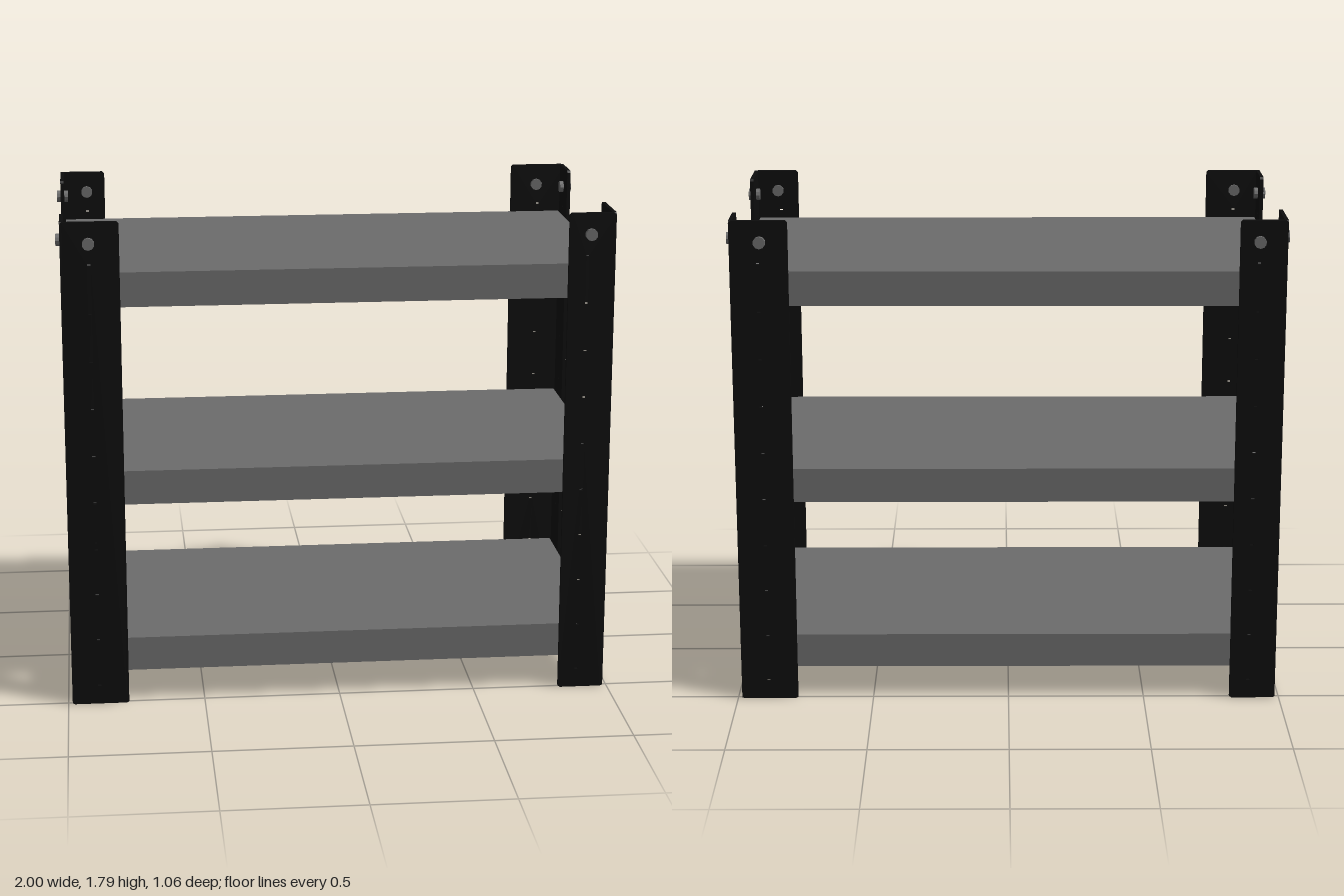
import * as THREE from 'three';

const X = 0.985, Z = 0.515, H = 1.797, T = 0.013;

// Flat perforated plate: starts at s*edge and runs inward by len
function plateGeometry(s, edge, len, holeAt, slit) {
  const u = (d) => s * (edge - d);
  const c = 0.008;
  const shape = new THREE.Shape([
    [0, c], [c, 0.003], [len - c, 0.003], [len, c],
    [len, H - c], [len - c, H], [c, H], [0, H - c],
  ].map(([d, y]) => new THREE.Vector2(u(d), y)));
  const cut = (x, y, w, h) => shape.holes.push(new THREE.Path([
    [-w, -h], [w, -h], [w, h], [-w, h],
  ].map(([a, b]) => new THREE.Vector2(x + a, y + b))));
  for (let i = 0; i < 10; i++) cut(s * holeAt, 0.075 + i * 0.1742, 0.006, 0.003);
  if (slit) cut(s * holeAt, 0.65, 0.0015, 0.03);
  return new THREE.ExtrudeGeometry(shape, { depth: T, bevelEnabled: false });
}

export function createModel() {
  const model = new THREE.Group();
  model.name = 'shelvingUnit';
  const black = new THREE.MeshStandardMaterial({ color: 0x0d0d0d });
  black.name = 'blackSteel';
  const grey = new THREE.MeshStandardMaterial({ color: 0x6b6b6b });
  grey.name = 'greyShelf';

  const add = (parent, name, geometry, material, x, y, z) => {
    const mesh = new THREE.Mesh(geometry, material);
    mesh.name = name;
    mesh.position.set(x, y, z);
    parent.add(mesh);
    return mesh;
  };

  // Three solid shelves
  [0.1875, 0.8225, 1.55].forEach((y, i) =>
    add(model, `shelf${i + 1}`, new THREE.BoxGeometry(1.936, 0.125, 1.006), grey, -0.001, y, -0.002));

  // Angle-iron corner posts, each with one long and one short flange
  const bolt = new THREE.CylinderGeometry(0.022, 0.022, 0.042, 10).toNonIndexed();
  bolt.computeVertexNormals();
  for (const sx of [-1, 1]) for (const sz of [-1, 1]) {
    const post = new THREE.Group();
    post.name = (sz > 0 ? 'front' : 'back') + (sx > 0 ? 'Left' : 'Right') + 'Post';
    model.add(post);
    const longX = sx !== sz;
    const lenX = longX ? 0.207 : 0.168, lenZ = longX ? 0.165 : 0.207;

    // Flange facing front or back
    add(post, 'wideFlange', plateGeometry(sx, X, lenX, 0.885, sx < 0 && sz > 0),
      black, 0, 0, sz > 0 ? Z - T : -Z);
    // Flange facing sideways
    add(post, 'sideFlange', plateGeometry(sz, Z, lenZ, 0.427, false),
      black, sx > 0 ? X : -X + T, 0, 0).rotation.y = -Math.PI / 2;

    // Bolts near the top, through both flanges
    const bx = sx > 0 ? (longX ? 0.877 : 0.895) : -0.886;
    const bz = sz * (longX ? 0.436 : 0.416);
    add(post, 'boltA', bolt, grey, bx, 1.72, sz * 0.51).rotation.x = Math.PI / 2;
    add(post, 'boltB', bolt, grey, sx * 0.979, 1.72, bz).rotation.z = Math.PI / 2;
  }
  return model;
}
